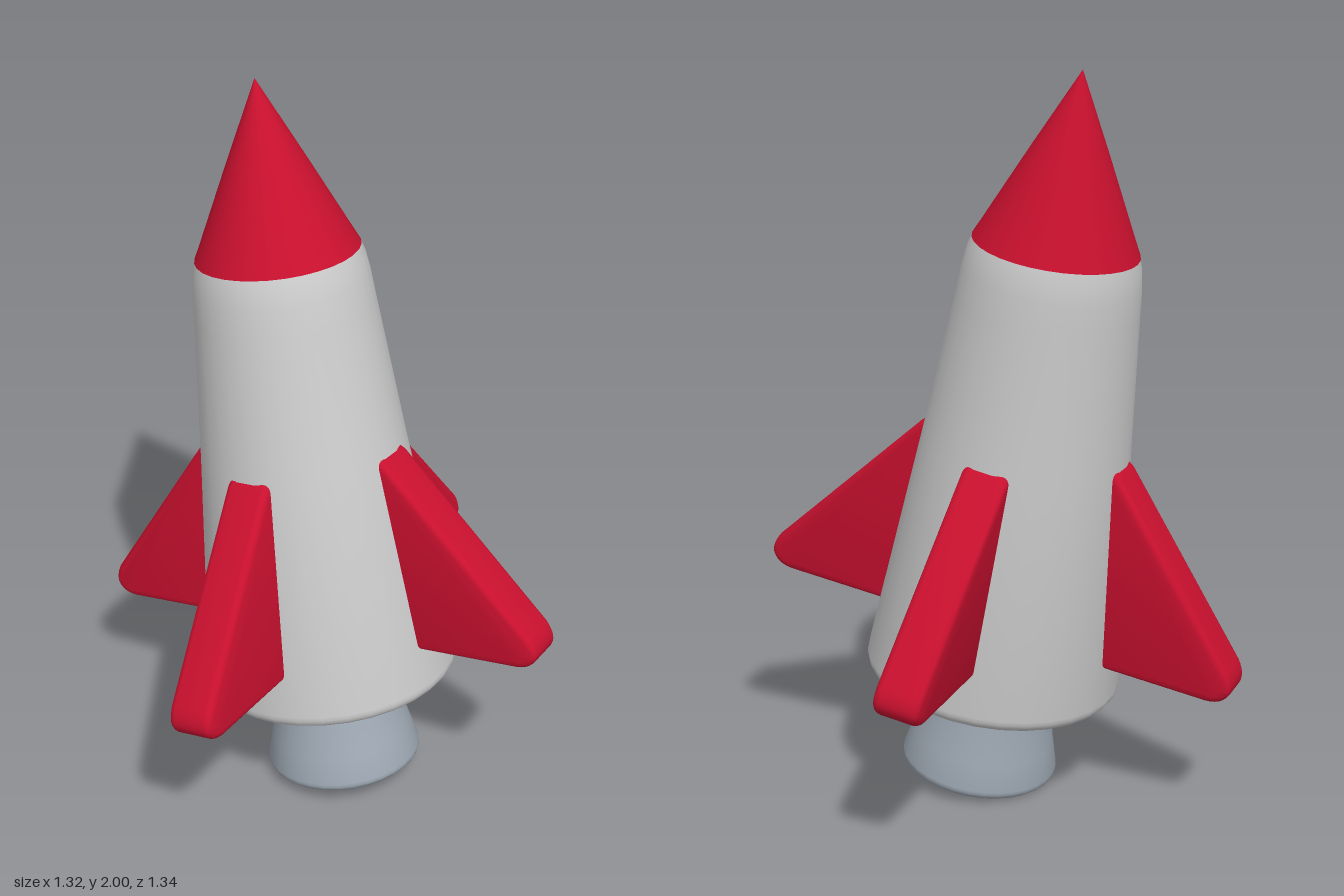
import * as THREE from 'three';
import { toCreasedNormals } from 'three/addons/utils/BufferGeometryUtils.js';

const red = new THREE.MeshStandardMaterial({ color: 0xc8102e });
const grey = new THREE.MeshStandardMaterial({ color: 0xcccccc });
const steel = new THREE.MeshStandardMaterial({ color: 0x9ea8b3 });

// Turned part from [radius, height] pairs, listed from bottom to top on the outside
function turned(name, profile, material) {
  const points = profile.map(([r, y]) => new THREE.Vector2(r, y));
  const mesh = new THREE.Mesh(toCreasedNormals(new THREE.LatheGeometry(points, 32), 0.6), material);
  mesh.name = name;
  return mesh;
}

// Quarter-round or half-round run of profile points
function arc(cr, cy, radius, from, to, steps) {
  return Array.from({ length: steps + 1 }, (_, i) => {
    const a = from + (to - from) * i / steps;
    return [cr + radius * Math.cos(a), cy + radius * Math.sin(a)];
  });
}

// Thick triangular fin with softened edges, pointing along +x
function finGeometry() {
  const s = new THREE.Shape();
  s.moveTo(0.2, 0.43);
  s.lineTo(0.62, 0.43);
  s.quadraticCurveTo(0.665, 0.432, 0.68, 0.465);
  s.quadraticCurveTo(0.688, 0.49, 0.665, 0.525);
  s.lineTo(0.29, 0.975);
  s.quadraticCurveTo(0.27, 0.995, 0.24, 0.995);
  s.lineTo(0.2, 0.995);
  s.closePath();
  const bevel = 0.02, thickness = 0.13;
  const g = new THREE.ExtrudeGeometry(s, {
    depth: thickness - 2 * bevel, bevelEnabled: true, bevelSize: bevel, bevelThickness: bevel,
    bevelOffset: -bevel, bevelSegments: 4, curveSegments: 6,
  });
  g.translate(0, 0, bevel - thickness / 2);
  return toCreasedNormals(g, 0.6);
}

export function createModel() {
  const model = new THREE.Group();
  model.name = 'rocket';

  // The whole rocket leans, so it is built upright inside a tilted group
  const rocket = new THREE.Group();
  rocket.name = 'leaningRocket';
  rocket.position.set(0.065, 0.037, 0.04);
  rocket.quaternion.setFromUnitVectors(
    new THREE.Vector3(0, 1, 0), new THREE.Vector3(-0.146, 0.985, -0.086).normalize());
  model.add(rocket);

  // Tapered hull with rounded bottom edge and slight shoulder
  rocket.add(turned('body', [
    [0, 0.287], [0.15, 0.287],
    ...arc(0.315, 0.322, 0.035, -Math.PI / 2, 0.1, 5),
    [0.28, 0.98], [0.242, 1.38], [0.236, 1.45], [0.228, 1.5], [0.219, 1.53],
  ], grey));

  // Nose cone
  rocket.add(turned('noseCone', [
    [0, 1.53], [0.22, 1.53], [0.203, 1.565], [0.1, 1.785], [0, 1.993],
  ], red));

  // Hollow engine bell: inner wall, rounded rim, outer wall
  rocket.add(turned('nozzle', [
    [0, 0.26], [0.12, 0.26], [0.135, 0.18], [0.172, 0.022],
    ...arc(0.194, 0.022, 0.022, Math.PI, Math.PI * 2.06, 8),
    [0.197, 0.1], [0.175, 0.2], [0.158, 0.3],
  ], steel));

  // Four fins around the hull
  const geometry = finGeometry();
  ['leftFin', 'backFin', 'rightFin', 'frontFin'].forEach((name, i) => {
    const fin = new THREE.Mesh(geometry, red);
    fin.name = name;
    fin.rotation.y = i * Math.PI / 2 - 0.27;
    rocket.add(fin);
  });

  return model;
}
